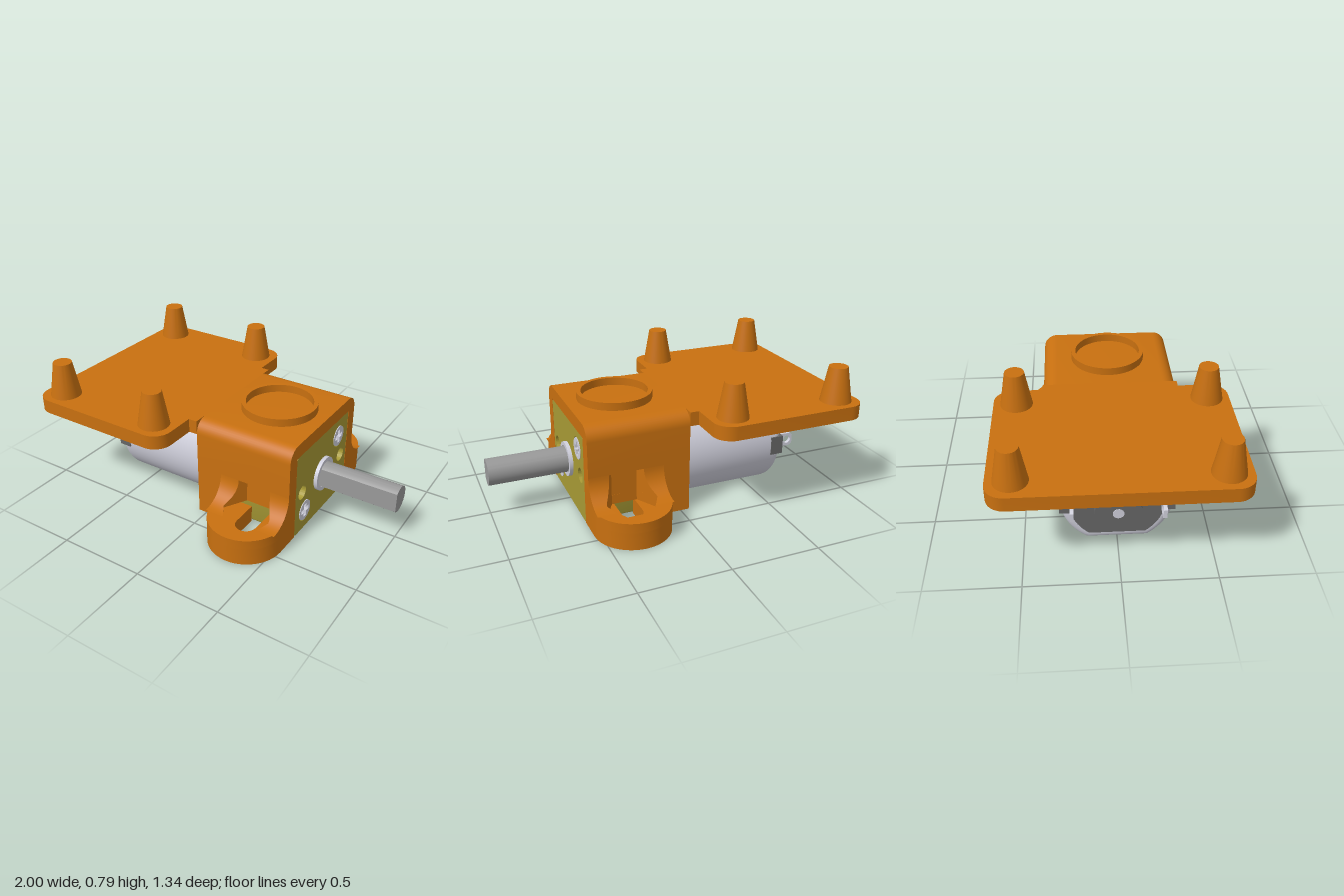
import * as THREE from 'three';
import { toCreasedNormals } from 'three/addons/utils/BufferGeometryUtils.js';

const mat = (color, extra = {}) => new THREE.MeshStandardMaterial({ color, ...extra });
const ORANGE = mat(0xc87010), BRASS = mat(0xa89a35), STEEL = mat(0xd0d0dc);
const SHAFT = mat(0x999999), DARK = mat(0x666666);
const AXIS_Y = 0.255;

function add(parent, name, geo, material) {
  const m = new THREE.Mesh(toCreasedNormals(geo, 0.5), material);
  m.name = name;
  parent.add(m);
  return m;
}
const shapeOf = pts => new THREE.Shape(pts.map(p => new THREE.Vector2(p[0], p[1])));
function arc(cx, cy, r, a0, a1, n = 24) {
  return Array.from({ length: n + 1 }, (_, i) => {
    const a = a0 + (a1 - a0) * i / n;
    return [cx + r * Math.cos(a), cy + r * Math.sin(a)];
  });
}
const circleHole = (cx, cy, r) => new THREE.Path().absarc(cx, cy, r, 0, Math.PI * 2, true);
// Plan shape (x, -z) raised from y0 to y1
function slab(shape, y0, y1) {
  return new THREE.ExtrudeGeometry(shape, { depth: y1 - y0, bevelEnabled: false, curveSegments: 32 })
    .rotateX(-Math.PI / 2).translate(0, y0, 0);
}
// Section (-z, y) swept from x0 to x1
function sweepX(shape, x0, x1, opts = {}) {
  return new THREE.ExtrudeGeometry(shape, { depth: x1 - x0, bevelEnabled: false, curveSegments: 32, ...opts })
    .rotateY(Math.PI / 2).translate(x0, 0, 0);
}
const rodX = (r, x0, x1, y = AXIS_Y, z = 0) =>
  new THREE.CylinderGeometry(r, r, x1 - x0, 32).rotateZ(Math.PI / 2).translate((x0 + x1) / 2, y, z);

// Curved web between wall and foot, cut by the hexagonal nut pocket
function filletGeometry(sx, sz) {
  const pocketX = z => 0.32 - (0.145 - Math.abs(z - 0.46) * 0.577);
  const pos = [], idx = [], steps = 14, n = 5;
  for (let i = 0; i <= steps; i++) {
    const a = i / steps * Math.PI / 2;
    const zf = 0.53 - 0.15 * Math.cos(a), y = 0.305 - 0.15 * Math.sin(a), zm = Math.min(zf, 0.46);
    const ring = [[0.105, 0.38], [0.105, zf], [pocketX(zf), zf], [pocketX(zm), zm], [pocketX(0.38), 0.38]];
    for (const [x, z] of ring) pos.push(0.32 + sx * (x - 0.32), y, sz * z);
  }
  for (let i = 0; i < steps; i++) for (let j = 0; j < n; j++) {
    const k = (j + 1) % n, t0 = i * n + j, t1 = i * n + k, b0 = t0 + n, b1 = t1 + n;
    if (sx * sz > 0) idx.push(b0, b1, t0, t0, b1, t1);
    else idx.push(b0, t0, b1, t0, t1, b1);
  }
  const g = new THREE.BufferGeometry();
  g.setAttribute('position', new THREE.Float32BufferAttribute(pos, 3));
  g.setIndex(idx);
  return g;
}

function buildBracket() {
  const g = new THREE.Group();
  g.name = 'bracket';

  // Upper arch of the housing
  const r = 0.08;
  add(g, 'housingArch', sweepX(shapeOf([
    [-0.38, 0.305], [-0.305, 0.305], [-0.305, 0.51], [0.305, 0.51], [0.305, 0.305], [0.38, 0.305],
    ...arc(0.38 - r, 0.59 - r, r, 0, Math.PI / 2, 10),
    ...arc(-0.38 + r, 0.59 - r, r, Math.PI / 2, Math.PI, 10),
  ]), -0.05, 0.535), ORANGE);

  // Lower walls and slotted feet, in layers
  for (const s of [1, -1]) {
    const side = pts => shapeOf(pts.map(([x, z]) => [x, -s * z]));
    const outer = [[0.535, 0.305], ...arc(0.32, 0.455, 0.215, 0, Math.PI), [0.105, 0.38], [-0.05, 0.38]];
    add(g, 'slottedFoot', slab(side([[-0.05, 0.305], [0.26, 0.305],
      ...arc(0.32, 0.46, 0.06, Math.PI, 0, 16), [0.38, 0.305], ...outer]), 0, 0.1), ORANGE);
    const pocket = side([[-0.05, 0.305], ...outer]);
    pocket.holes.push(side(arc(0.32, 0.46, 0.145, 0, Math.PI * 5 / 3, 5)));
    add(g, 'nutPocket', slab(pocket, 0.1, 0.155), ORANGE);
    add(g, 'sideWall', slab(side([[-0.05, 0.305], [0.535, 0.305], [0.535, 0.38], [0.419, 0.38],
      [0.3925, 0.334], [0.2475, 0.334], [0.221, 0.38], [-0.05, 0.38]]), 0.155, 0.305), ORANGE);
    for (const sx of [1, -1]) add(g, 'footWeb', filletGeometry(sx, s), ORANGE);
  }

  // Rounded mounting plate with neck
  const H = Math.PI / 2, c = 0.545;
  add(g, 'mountingPlate', slab(shapeOf([
    ...arc(-0.9, -c, 0.1, 2 * H, 3 * H, 10), ...arc(-0.2, -c, 0.1, 3 * H, 4 * H, 10),
    [-0.1, -0.38], [-0.05, -0.38], [-0.05, 0.38], [-0.1, 0.38],
    ...arc(-0.2, c, 0.1, 0, H, 10), ...arc(-0.9, c, 0.1, H, 2 * H, 10),
  ]), 0.51, 0.59), ORANGE);

  // Tapered pegs
  for (const x of [-0.875, -0.23]) for (const z of [-0.52, 0.52])
    add(g, 'peg', new THREE.CylinderGeometry(0.053, 0.088, 0.2, 40).translate(x, 0.69, z), ORANGE);

  // Plain raised ring on the housing roof
  const ring = new THREE.Shape().absarc(0.25, 0, 0.215, 0, Math.PI * 2);
  ring.holes.push(circleHole(0.25, 0, 0.19));
  add(g, 'roofRing', slab(ring, 0.59, 0.635), ORANGE);
  return g;
}

function buildGearbox() {
  const g = new THREE.Group();
  g.name = 'gearbox';
  const screws = [[0.19, 0.4], [-0.19, 0.115]];

  // Block with screw seats and mounting holes
  const H = Math.PI / 2, k = 0.02;
  const block = shapeOf([
    ...arc(0.303 - k, 0.51 - k, k, 0, H, 5), ...arc(-0.303 + k, 0.51 - k, k, H, 2 * H, 5),
    ...arc(-0.303 + k, k, k, 2 * H, 3 * H, 5), ...arc(0.303 - k, k, k, 3 * H, 4 * H, 5),
  ]);
  for (const u of [-0.23, 0.23]) block.holes.push(circleHole(u, AXIS_Y, 0.042));
  for (const [u, y] of screws) block.holes.push(circleHole(u, y, 0.065));
  add(g, 'gearBlock', sweepX(block, 0.08, 0.534), BRASS);

  // Cross-head screws
  for (const [u, y] of screws) {
    const head = new THREE.Shape().absarc(u, y, 0.061, 0, Math.PI * 2);
    const a = 0.04, b = 0.013;
    const cross = [[a, -b], [a, b], [b, b], [b, a], [-b, a], [-b, b], [-a, b], [-a, -b], [-b, -b], [-b, -a], [b, -a], [b, -b]];
    head.holes.push(shapeOf(cross.map(([p, q]) => [u + p, y + q])));
    add(g, 'screwHead', sweepX(head, 0.5, 0.536), STEEL);
    add(g, 'screwCore', rodX(0.061, 0.4, 0.505, y, -u), STEEL);
  }

  // Bushing and flat-sided shaft
  const bush = new THREE.Shape().absarc(0, AXIS_Y, 0.1, 0, Math.PI * 2);
  bush.holes.push(circleHole(0, AXIS_Y, 0.078));
  add(g, 'bushing', sweepX(bush, 0.534, 0.555), STEEL);
  const flat = Math.acos(0.05 / 0.075);
  add(g, 'outputShaft', sweepX(shapeOf(arc(0, AXIS_Y, 0.075, Math.PI + flat, 3 * Math.PI - flat, 40)), 0.52, 1), SHAFT);
  return g;
}

function buildMotor() {
  const g = new THREE.Group();
  g.name = 'motor';
  // Round can with flats on top and bottom
  const can = (r, h) => {
    const a = Math.asin(h / r);
    return shapeOf([...arc(0, AXIS_Y, r, -a, a, 20), ...arc(0, AXIS_Y, r, Math.PI - a, Math.PI + a, 20)]);
  };
  add(g, 'motorCan', sweepX(can(0.303, 0.254), -0.64, 0.03,
    { bevelEnabled: true, bevelThickness: 0.05, bevelSize: 0.05, bevelOffset: -0.05, bevelSegments: 6 }), STEEL);
  add(g, 'endCap', sweepX(can(0.25, 0.2), -0.694, -0.66), DARK);
  add(g, 'rearBoss', rodX(0.125, -0.77, -0.69), DARK);
  add(g, 'rearAxle', rodX(0.03, -0.773, -0.76), STEEL);

  // Terminals and the insulators they sit in
  for (const s of [1, -1]) {
    add(g, 'insulator', new THREE.BoxGeometry(0.077, 0.11, 0.1).translate(-0.6545, AXIS_Y, s * 0.255), DARK);
    const tab = shapeOf([[-0.66, 0.215], [-0.66, 0.295], [-0.775, 0.295], [-0.79, 0.28], [-0.79, 0.23], [-0.775, 0.215]]);
    tab.holes.push(circleHole(-0.755, AXIS_Y, 0.024));
    add(g, 'terminal', new THREE.ExtrudeGeometry(tab, { depth: 0.02, bevelEnabled: false })
      .translate(0, 0, s * 0.24 - 0.01), STEEL);
  }
  return g;
}

export function createModel() {
  const model = new THREE.Group();
  model.name = 'gearMotorMount';
  model.add(buildBracket(), buildGearbox(), buildMotor());
  return model;
}
